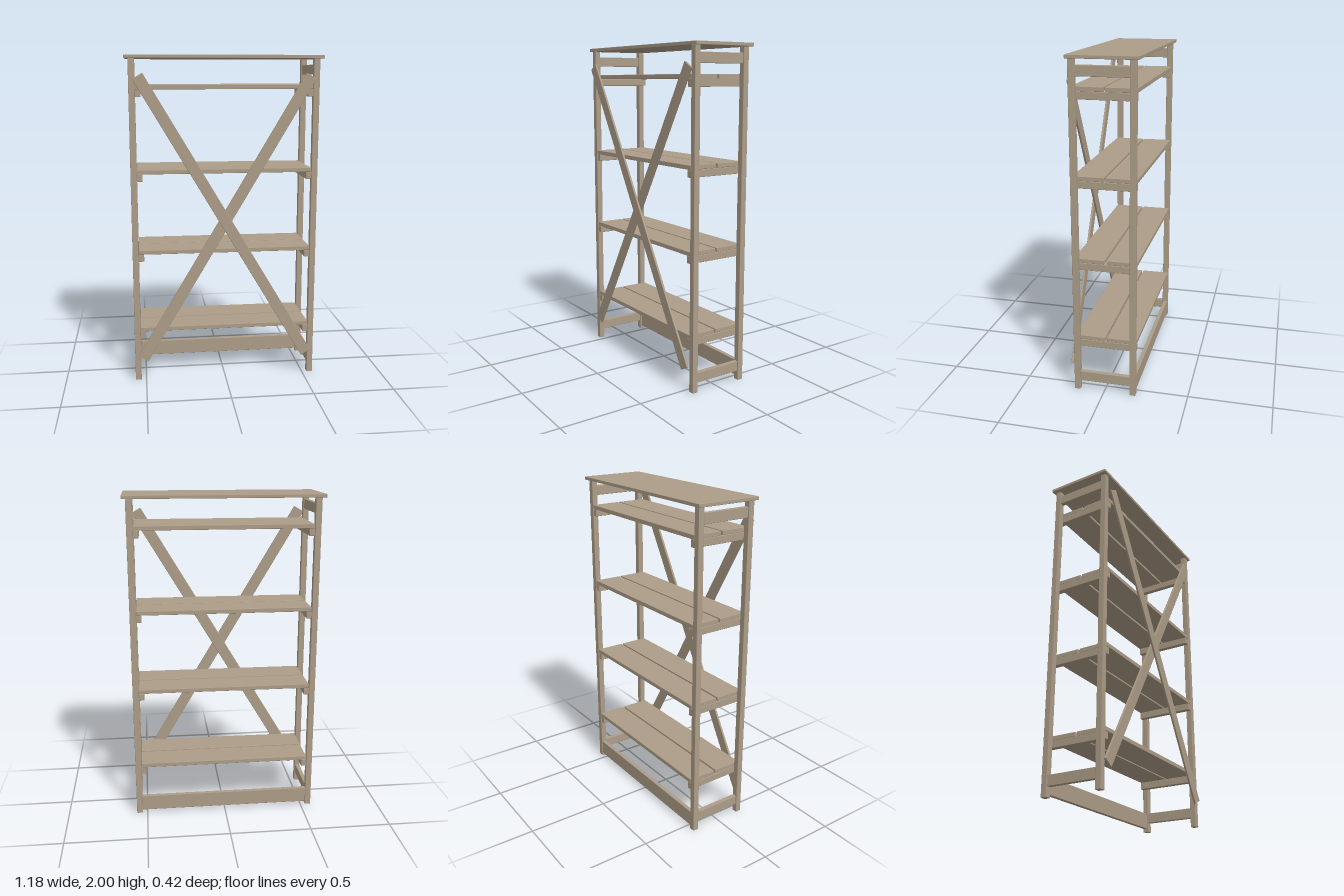
import * as THREE from 'three';
import { RoundedBoxGeometry } from 'three/addons/geometries/RoundedBoxGeometry.js';

export function createModel() {
  const model = new THREE.Group();
  model.name = 'shelfUnit';
  const wood = new THREE.MeshStandardMaterial({ color: 0xad9d88 });

  // A plank with slightly eased edges, given by its limits on each axis
  function plank(name, [x0, x1], [y0, y1], [z0, z1], parent = model) {
    const geometry = new RoundedBoxGeometry(x1 - x0, y1 - y0, z1 - z0, 1, 0.003);
    const mesh = new THREE.Mesh(geometry, wood);
    mesh.name = name;
    mesh.position.set((x0 + x1) / 2, (y0 + y1) / 2, (z0 + z1) / 2);
    parent.add(mesh);
    return mesh;
  }

  // The same plank on the left (+x) and right (-x)
  function pair(name, [x0, x1], y, z, parent = model) {
    plank(name + 'Left', [x0, x1], y, z, parent);
    plank(name + 'Right', [-x1, -x0], y, z, parent);
  }

  const front = [0.147, 0.183], back = [-0.193, -0.157];
  const between = [back[1], front[0]];

  // Top board
  plank('topBoard', [-0.59, 0.59], [1.98, 2.0], [-0.21, 0.193]);

  // Legs and the rails that join them
  pair('frontLeg', [0.53, 0.567], [0, 1.98], front);
  pair('backLeg', [0.53, 0.567], [0, 1.98], back);
  pair('topSideRail', [0.535, 0.562], [1.885, 1.945], between);
  pair('bottomSideRail', [0.535, 0.562], [0.058, 0.12], between);
  plank('backRail', [-0.53, 0.53], [0.02, 0.117], [-0.19, -0.165]);

  // Shelves: two boards resting on a cleat at each end
  [0.345, 0.838, 1.33, 1.828].forEach((top, i) => {
    const shelf = new THREE.Group();
    shelf.name = 'shelf' + (i + 1);
    const y = [top - 0.026, top];
    plank('frontBoard', [-0.528, 0.528], y, [0.0, 0.181], shelf);
    plank('backBoard', [-0.528, 0.528], y, [-0.191, -0.011], shelf);
    pair('cleat', [0.497, 0.53], [top - 0.07, top - 0.026], [-0.19, 0.18], shelf);
    model.add(shelf);
  });

  // Crossed braces over the front, one lying on the other
  const dx = 1.03, dy = 1.735, length = Math.hypot(dx, dy);
  [[1, 0.183, 'rearBrace'], [-1, 0.1965, 'frontBrace']].forEach(([side, z, name]) => {
    const brace = plank(name, [-0.0345, 0.0345], [0, length], [z, z + 0.0135]);
    brace.position.y = 1.012;
    brace.rotation.z = -side * Math.atan2(dx, dy);
  });

  return model;
}
